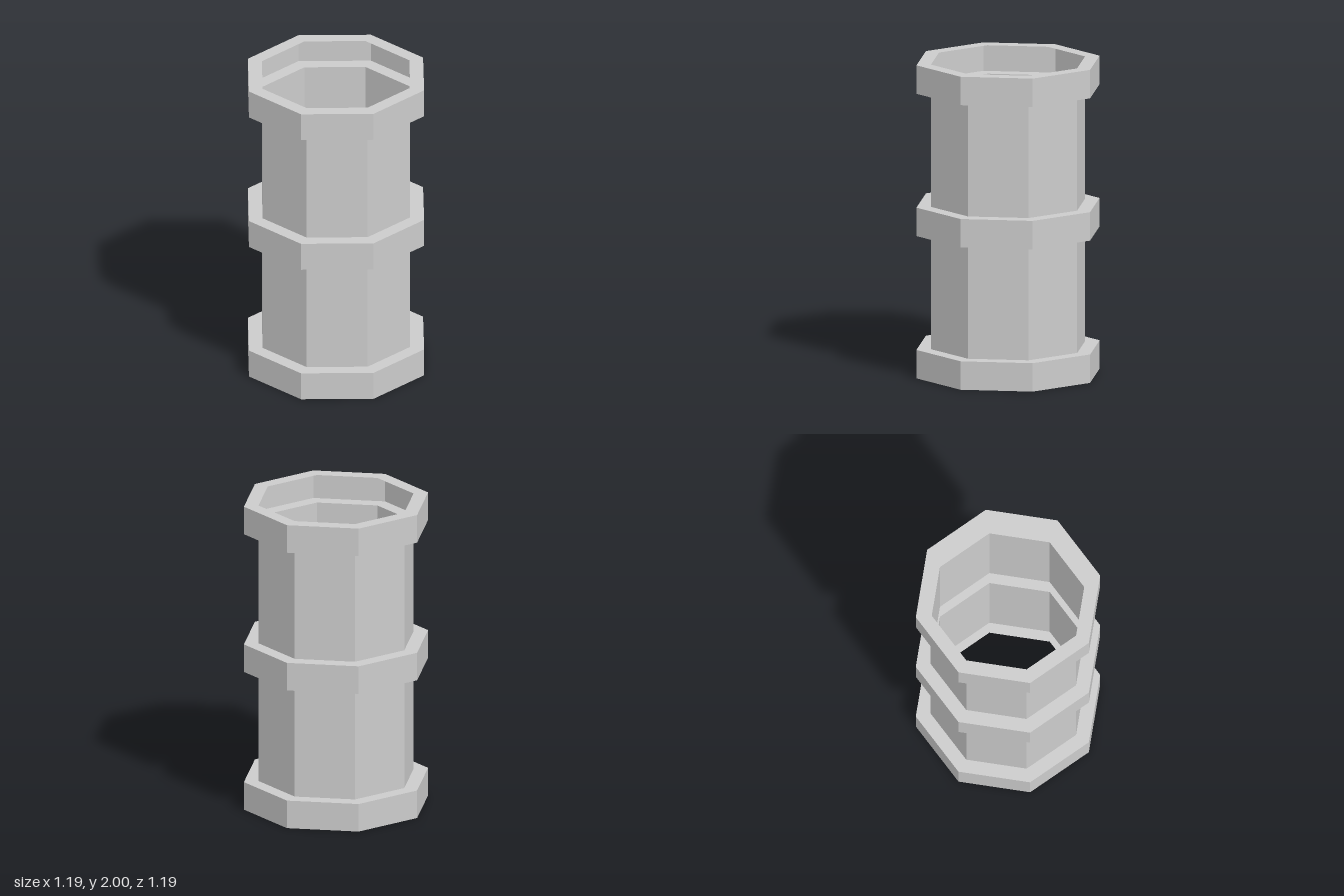
import * as THREE from 'three';

const SIDES = 8;
const WALL_R = 0.5;      // pipe wall radius
const COLLAR_R = 0.594;  // collar radius
const COLLAR_H = 2 / 11;
const WALL_H = 8 / 11;

const material = new THREE.MeshStandardMaterial({
  color: 0xcccccc, flatShading: true, side: THREE.DoubleSide,
});

// Eight-sided shell turned from [radius, height] points, bottom to top
function shell(name, profile, y) {
  const points = profile.map(([r, h]) => new THREE.Vector2(r, h));
  const mesh = new THREE.Mesh(new THREE.LatheGeometry(points, SIDES), material);
  mesh.name = name;
  mesh.position.y = y;
  return mesh;
}

export function createModel() {
  const group = new THREE.Group();
  group.name = 'pipe';

  // Collars: outer band with top and bottom lips, hollow inside
  const collar = [[WALL_R, 0], [COLLAR_R, 0], [COLLAR_R, COLLAR_H], [WALL_R, COLLAR_H]];
  ['bottomCollar', 'middleCollar', 'topCollar'].forEach((name, i) => {
    group.add(shell(name, collar, i * (COLLAR_H + WALL_H)));
  });

  // Thin open walls between the collars
  const wall = [[WALL_R, 0], [WALL_R, WALL_H]];
  ['lowerWall', 'upperWall'].forEach((name, i) => {
    group.add(shell(name, wall, COLLAR_H + i * (COLLAR_H + WALL_H)));
  });

  return group;
}
